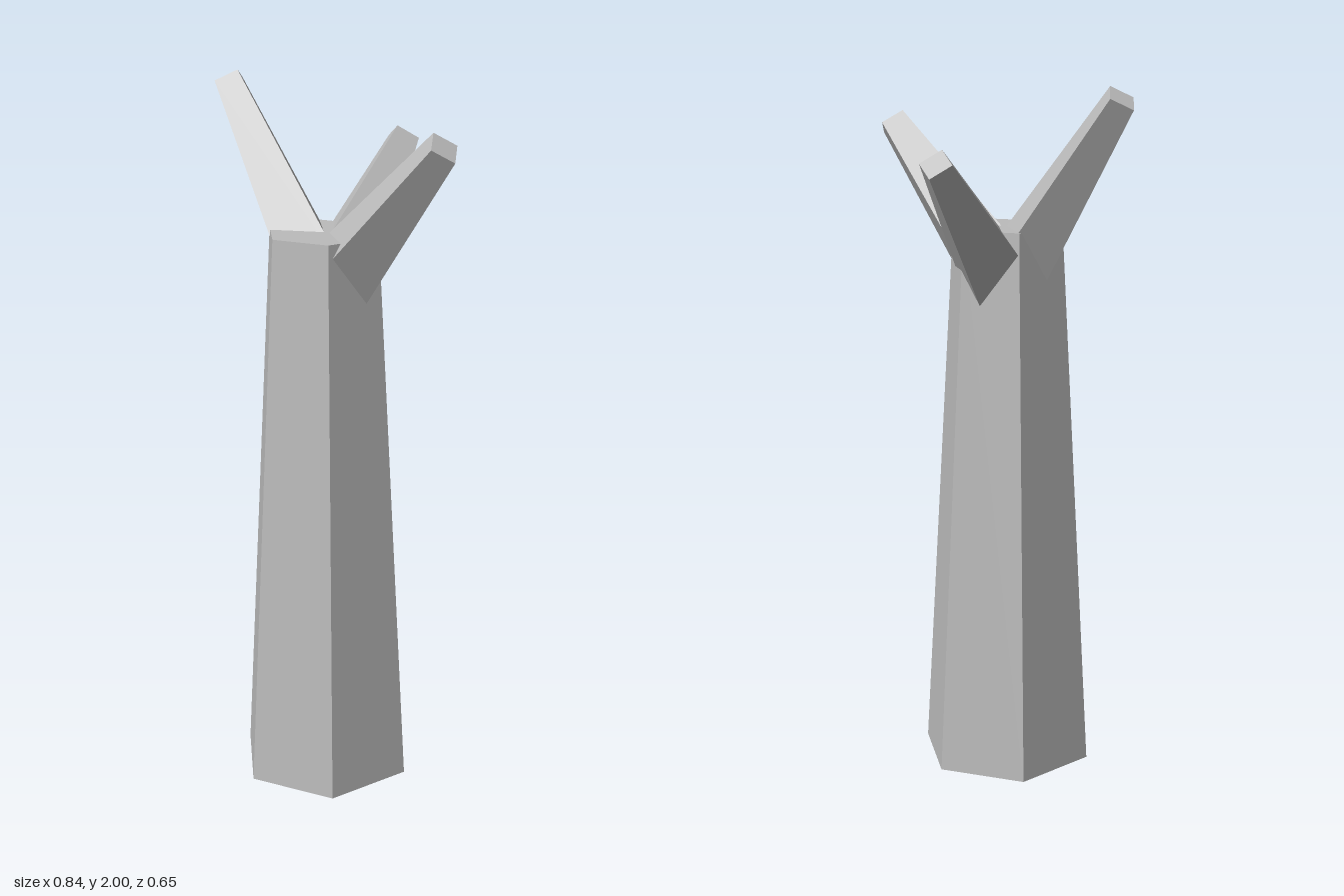
import * as THREE from 'three';

const bark = new THREE.MeshStandardMaterial({ color: 0xbcbcbc, flatShading: true, side: THREE.DoubleSide });
bark.name = 'bark grey';

// Tapered prism, open at the bottom and capped at the top
function taper(name, baseRadius, topRadius, height, sides, startAngle) {
  const profile = [
    new THREE.Vector2(baseRadius, 0),
    new THREE.Vector2(topRadius, height),
    new THREE.Vector2(0, height),
  ];
  const mesh = new THREE.Mesh(new THREE.LatheGeometry(profile, sides, startAngle), bark);
  mesh.name = name;
  return mesh;
}

// Four-sided limb from base to tip, with one ridge turned straight up
function branch(name, base, tip, baseRadius) {
  const start = new THREE.Vector3(...base);
  const axis = new THREE.Vector3(...tip).sub(start);
  const mesh = taper(name, baseRadius, 0.05, axis.length(), 4, 0);
  axis.normalize();
  const ridge = new THREE.Vector3(0, 1, 0).addScaledVector(axis, -axis.y).normalize();
  const side = new THREE.Vector3().crossVectors(axis, ridge);
  mesh.quaternion.setFromRotationMatrix(new THREE.Matrix4().makeBasis(side, axis, ridge));
  mesh.position.copy(start);
  return mesh;
}

export function createModel() {
  const group = new THREE.Group();
  group.name = 'bareTree';

  // Six-sided trunk with a flat side to the front
  const trunk = taper('trunk', 0.257, 0.164, 1.6, 6, Math.PI / 6);
  trunk.position.set(-0.013, 0, 0.103);
  group.add(trunk);

  // Three limbs spreading from inside the trunk top
  group.add(
    branch('rightBranch', [-0.013, 1.433, 0.102], [-0.382, 1.97, -0.056], 0.114),
    branch('leftBranch', [-0.013, 1.422, 0.096], [0.384, 1.875, 0.233], 0.125),
    branch('backBranch', [-0.006, 1.41, 0.103], [0.052, 1.805, -0.293], 0.135),
  );
  return group;
}
